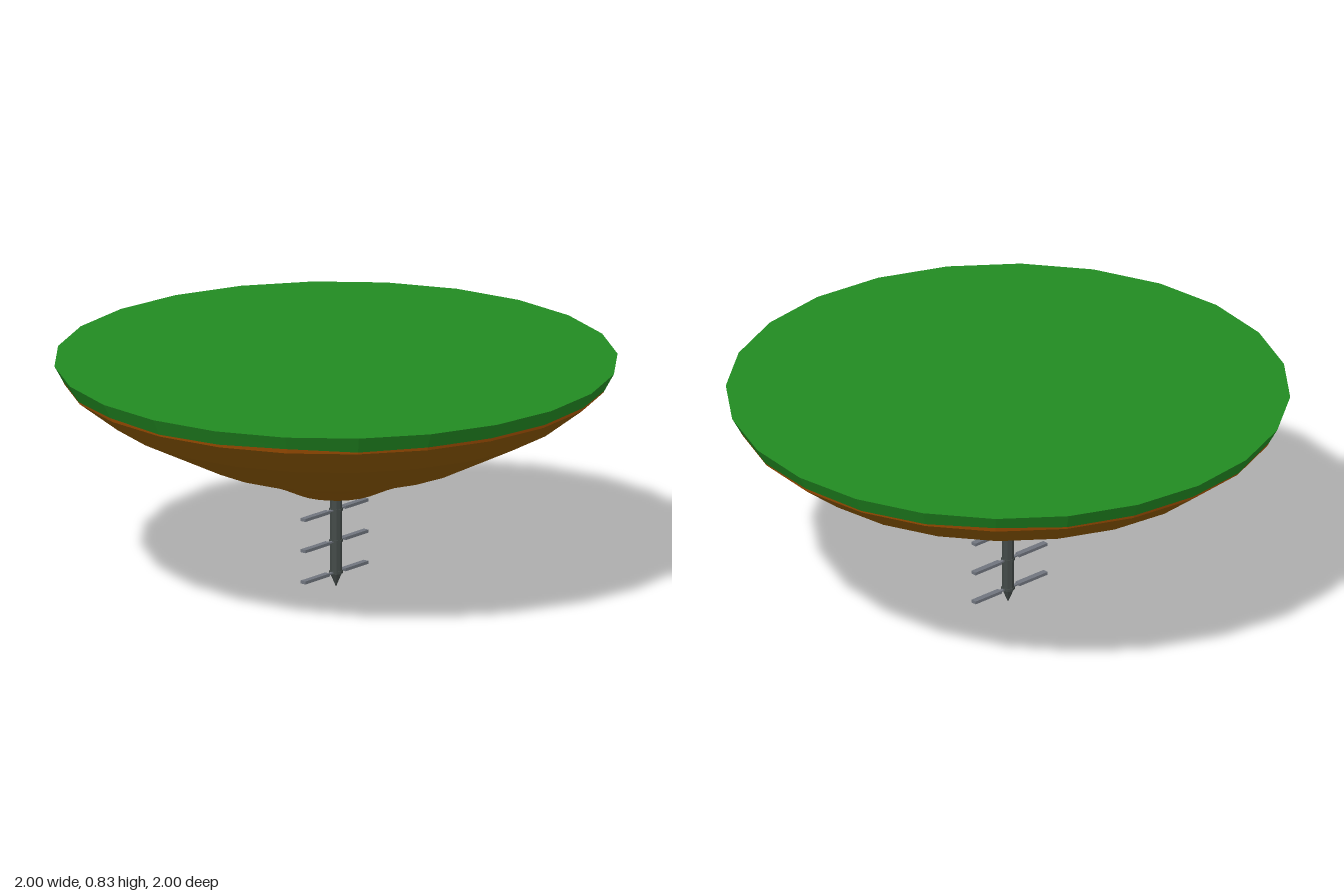
import * as THREE from 'three';

const SIDES = 24;
const EDGE_Y = 0.778; // mean height of the ragged grass edge
const EDGE_R = 0.9688;

export function createModel() {
  const model = new THREE.Group();
  const material = (name, color) => new THREE.MeshStandardMaterial({ name, color, flatShading: true });
  const grass = material('grass green', 0x228b22);
  const soil = material('soil brown', 0x8b5700);
  const clay = material('clay orange', 0xb35900);
  const mastGrey = material('mast grey', 0x434a48);
  const rodGrey = material('rod grey', 0x70757e);

  const add = (name, geometry, mat, x = 0, y = 0, z = 0) => {
    const mesh = new THREE.Mesh(geometry, mat);
    mesh.name = name;
    mesh.position.set(x, y, z);
    model.add(mesh);
    return mesh;
  };

  // A 24-sided band; points on the grass edge are made slightly uneven
  const band = (profile) => {
    const geometry = new THREE.LatheGeometry(profile.map((p) => new THREE.Vector2(...p)), SIDES);
    const pos = geometry.attributes.position;
    for (let i = 0; i < pos.count; i++) {
      if (Math.abs(pos.getY(i) - EDGE_Y) > 0.002) continue;
      const step = Math.round((Math.atan2(pos.getX(i), pos.getZ(i)) / (2 * Math.PI)) * SIDES + SIDES) % SIDES;
      const lift = 0.005 * Math.sin(step * 2.3) + 0.002 * Math.sin(step * 5.1);
      const r = 1 + (lift * 0.54) / EDGE_R;
      pos.setXYZ(i, pos.getX(i) * r, EDGE_Y + lift, pos.getZ(i) * r);
    }
    geometry.computeVertexNormals();
    return geometry;
  };

  // Floating island: flat top, grassy rim, clay line and earthen bowl
  const top = new THREE.CircleGeometry(1, SIDES);
  top.rotateX(-Math.PI / 2);
  add('grassTop', top, grass, 0, 0.835, 0);
  add('grassRim', band([[EDGE_R, EDGE_Y], [1, 0.835]]), grass);
  add('clayEdge', band([[0.963, 0.766], [EDGE_R, EDGE_Y]]), clay);
  add('earthBowl', band([
    [0, 0.338], [0.03, 0.339], [0.155, 0.361], [0.24, 0.401], [0.34, 0.442],
    [0.495, 0.493], [0.82, 0.656], [0.963, 0.766],
  ]), soil);

  // Mast hanging below with a pointed tip
  add('mast', new THREE.CylinderGeometry(0.021, 0.021, 0.31, 8), mastGrey, 0, 0.205, 0);
  const tip = add('mastTip', new THREE.ConeGeometry(0.021, 0.05, 8), mastGrey, 0, 0.025, 0);
  tip.rotation.x = Math.PI;

  // Three levels of flat crossbars
  for (const y of [0.055, 0.17, 0.285]) {
    add('crossbarCore', new THREE.BoxGeometry(0.1, 0.005, 0.012), rodGrey, 0, y, 0);
    add('leftCrossbar', new THREE.BoxGeometry(0.125, 0.011, 0.022), rodGrey, 0.1025, y, 0);
    add('rightCrossbar', new THREE.BoxGeometry(0.135, 0.011, 0.022), rodGrey, -0.1125, y, 0);
    add('crossbarCollar', new THREE.CylinderGeometry(0.024, 0.024, 0.01, 8), mastGrey, 0, y, 0);
  }
  return model;
}
